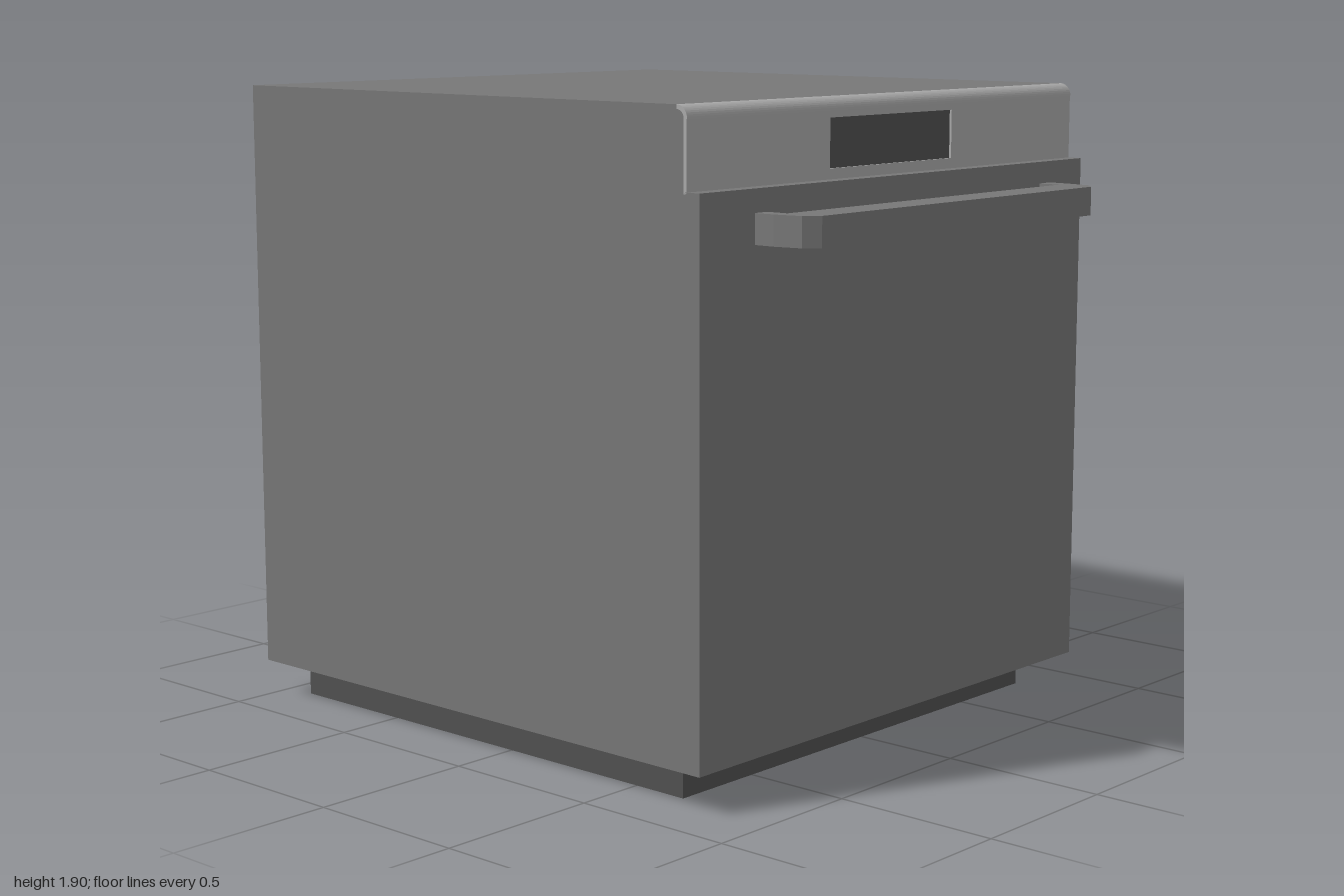
import * as THREE from 'three';

const mat = (color) => new THREE.MeshStandardMaterial({ color, flatShading: true });
const bodyMat = mat(0x777777);
const panelMat = mat(0xaaaaaa);
const darkMat = mat(0x505050);

const WIDTH = 1.76;

export function createModel() {
  const group = new THREE.Group();

  const add = (name, geometry, material) => {
    const mesh = new THREE.Mesh(geometry, material);
    mesh.name = name;
    group.add(mesh);
  };

  // box given by its limits on each axis
  const box = (name, material, [x0, x1], [y0, y1], [z0, z1]) => {
    const g = new THREE.BoxGeometry(x1 - x0, y1 - y0, z1 - z0);
    g.translate((x0 + x1) / 2, (y0 + y1) / 2, (z0 + z1) / 2);
    add(name, g, material);
  };

  // extrude a side profile of (z, y) points across the full width
  const acrossWidth = (shape) =>
    new THREE.ExtrudeGeometry(shape, { depth: WIDTH, bevelEnabled: false, curveSegments: 5 })
      .rotateY(-Math.PI / 2).translate(WIDTH / 2, 0, 0);

  // cabinet, rounded at the top front edge behind the panel skin
  const cabinet = new THREE.Shape();
  cabinet.moveTo(-1, 0.11);
  cabinet.lineTo(0.76, 0.11);
  cabinet.lineTo(0.76, 1.865);
  cabinet.absarc(0.735, 1.865, 0.025, 0, Math.PI / 2, false);
  cabinet.lineTo(0.735, 1.902);
  cabinet.lineTo(-1, 1.902);
  cabinet.closePath();
  add('cabinet', acrossWidth(cabinet), bodyMat);

  // curved top edge of the control panel
  const edge = new THREE.Shape();
  edge.moveTo(0.76, 1.865);
  edge.lineTo(0.77, 1.865);
  edge.absarc(0.735, 1.865, 0.037, 0, Math.PI / 2, false);
  edge.lineTo(0.735, 1.89);
  edge.absarc(0.735, 1.865, 0.025, Math.PI / 2, 0, true);
  add('controlPanelEdge', acrossWidth(edge), panelMat);

  // control panel with an opening for the display
  const rect = (path, x0, x1, y0, y1) => {
    path.moveTo(x0, y0);
    path.lineTo(x1, y0);
    path.lineTo(x1, y1);
    path.lineTo(x0, y1);
    path.closePath();
    return path;
  };
  const panel = rect(new THREE.Shape(), -WIDTH / 2, WIDTH / 2, 1.67, 1.865);
  panel.holes.push(rect(new THREE.Path(), -0.29, 0.27, 1.705, 1.845));
  add('controlPanel',
    new THREE.ExtrudeGeometry(panel, { depth: 0.01, bevelEnabled: false }).translate(0, 0, 0.76),
    panelMat);
  box('display', darkMat, [-0.29, 0.27], [1.705, 1.845], [0.755, 0.763]);

  // door and recessed plinth
  box('door', bodyMat, [-WIDTH / 2, WIDTH / 2], [0.11, 1.675], [0.76, 0.815]);
  box('plinth', darkMat, [-0.79, 0.79], [0, 0.11], [-0.905, 0.675]);

  // handle: bracket outline in (x, z), extruded vertically
  const handle = new THREE.Shape([
    [-0.66, 0.81], [-0.61, 0.81], [-0.61, 0.885], [0.66, 0.885], [0.66, 0.81], [0.715, 0.81],
    [0.715, 0.88], [0.7, 0.965], [0.66, 1], [-0.605, 1], [-0.645, 0.965], [-0.66, 0.88],
  ].map(([x, z]) => new THREE.Vector2(x, z)));
  add('handle',
    new THREE.ExtrudeGeometry(handle, { depth: 0.085, bevelEnabled: false })
      .rotateX(Math.PI / 2).translate(0, 1.61, 0),
    bodyMat);

  return group;
}
